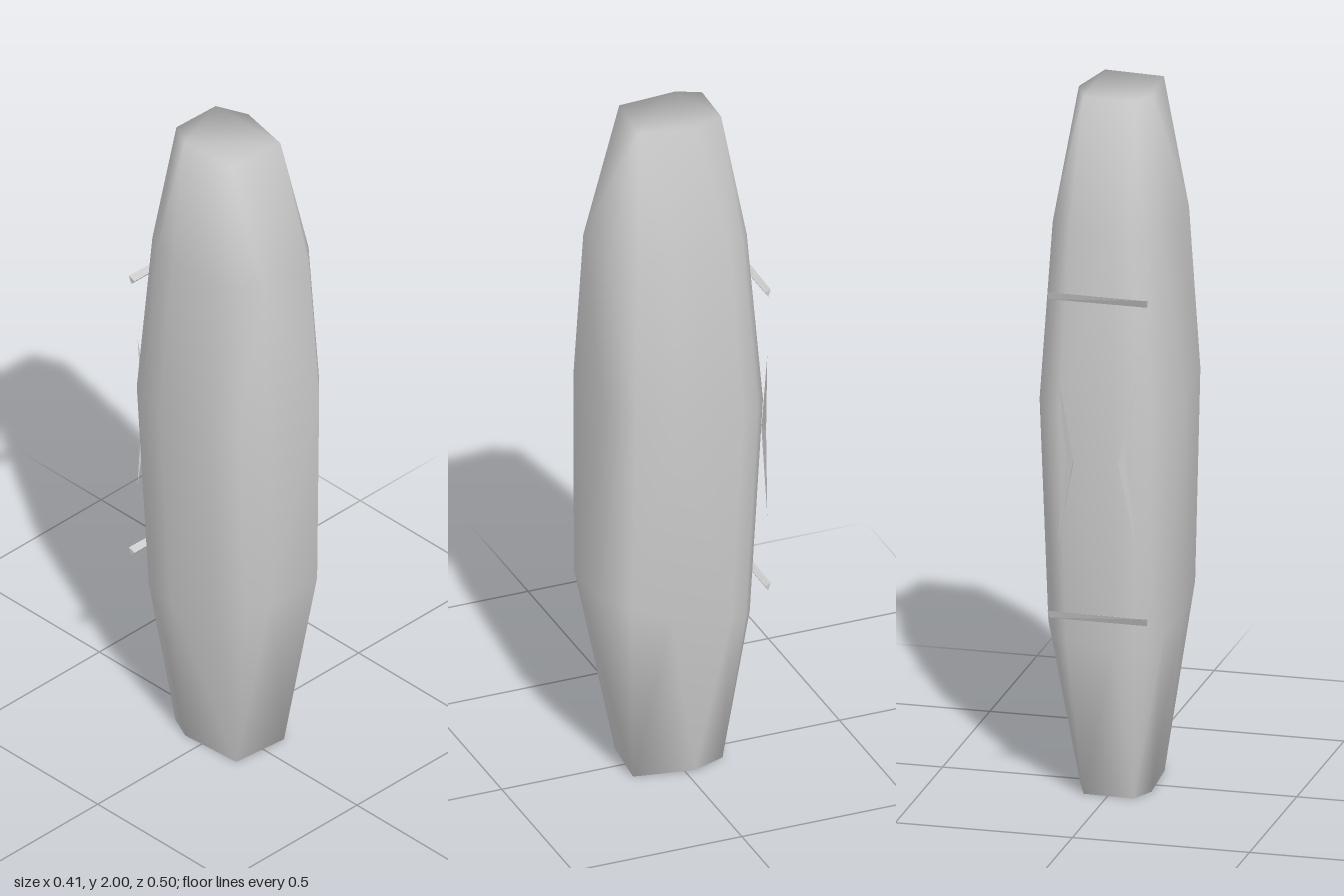
import * as THREE from 'three';
import { ConvexGeometry } from 'three/addons/geometries/ConvexGeometry.js';
import { mergeVertices } from 'three/addons/utils/BufferGeometryUtils.js';

const material = new THREE.MeshStandardMaterial({ color: 0xcccccc });

// Hull through a set of points, optionally with shared smooth normals
function hull(name, points, smooth) {
  let geometry = new ConvexGeometry(points);
  if (smooth) {
    geometry.deleteAttribute('normal');
    geometry = mergeVertices(geometry, 1e-4);
    geometry.computeVertexNormals();
  }
  const mesh = new THREE.Mesh(geometry, material);
  mesh.name = name;
  return mesh;
}

const v = (x, y, z) => new THREE.Vector3(x, y, z);

export function createModel() {
  const group = new THREE.Group();
  group.name = 'taperedPod';

  // Widest outline of the body (x, z) and the small six-sided end
  const outline = [
    [0.107, 0.245], [0.176, 0.175], [0.203, 0.06], [0.19, -0.135], [0.155, -0.195], [0.11, -0.227],
    [-0.04, -0.25], [-0.1, -0.23], [-0.145, -0.208], [-0.175, -0.155], [-0.203, -0.06],
    [-0.196, 0.12], [-0.152, 0.2], [-0.095, 0.248],
  ];
  const end = [[0.075, 0.127], [0.107, -0.03], [0.07, -0.12], [-0.075, -0.125], [-0.108, -0.06], [-0.095, 0.112]];

  // Body: rings of [height, lean with z, x scale, z scale, z shift] between the two ends
  const rings = [
    [0.52, 0.27, 0.91, 0.93, 0.019],
    [1.15, 0.15, 1, 1, 0],
    [1.63, 0, 0.845, 0.865, 0.01],
  ];
  const points = [];
  for (const [x, z] of end) points.push(v(x, 2, z), v(x * 0.98, 0, z * 1.08 + 0.005));
  for (const [y, lean, sx, sz, dz] of rings)
    for (const [x, z] of outline) points.push(v(x * sx, y + lean * z, z * sz + dz));
  group.add(hull('body', points, true));

  // Slim three-sided bars across the back
  for (const [name, y] of [['upperBar', 1.46], ['lowerBar', 0.545]]) {
    const bar = [];
    for (const [x, t] of [[-0.14, 1], [0.14, 0.7]])
      bar.push(v(x, y + 0.011, -0.222 - 0.022 * t), v(x, y - 0.011, -0.222 - 0.012 * t), v(x, y + 0.004, -0.221));
    group.add(hull(name, bar));
  }

  // Bent slivers on the back, their bends pointing inward
  for (const side of [1, -1]) {
    const sliver = new THREE.Group();
    sliver.name = side > 0 ? 'leftSliver' : 'rightSliver';
    const bend = [v(side * 0.063, 1, -0.255), v(side * 0.064, 1, -0.242), v(side * 0.085, 1, -0.247)];
    for (const y of [0.75, 1.25])
      sliver.add(hull('sliverHalf', [...bend, v(side * 0.112, y, -0.239)]));
    group.add(sliver);
  }
  return group;
}
